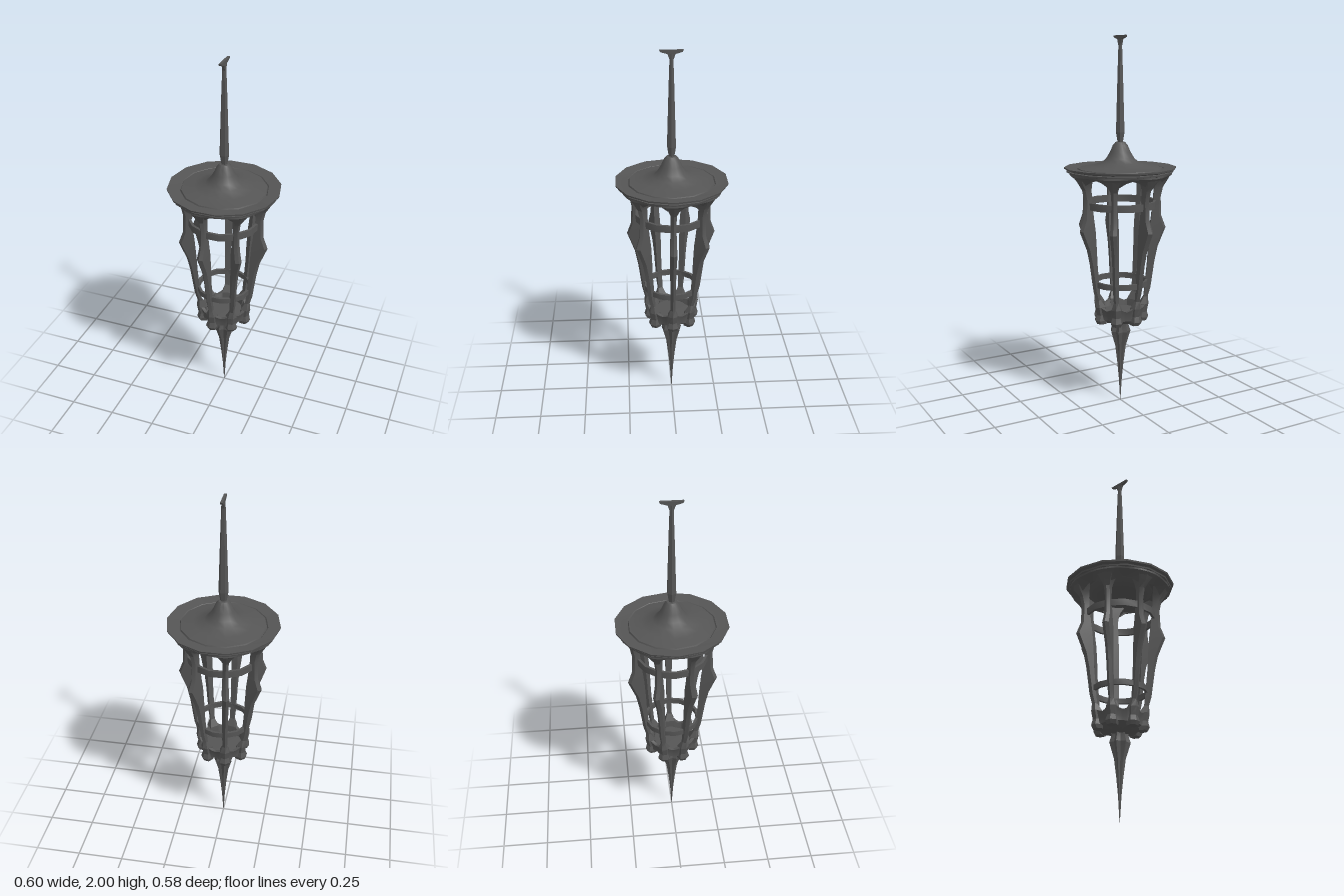
import * as THREE from 'three';
import { toCreasedNormals } from 'three/addons/utils/BufferGeometryUtils.js';

const RIBS = 7;
const smooth = new THREE.MeshStandardMaterial({ color: 0x555555, side: THREE.DoubleSide });
const v2 = (pts) => pts.map(([x, y]) => new THREE.Vector2(x, y));

// Skin a stack of closed rings, listed from bottom to top
function loft(rings, caps) {
  const n = rings[0].length, index = [];
  for (let i = 0; i < rings.length - 1; i++) {
    for (let j = 0; j < n; j++) {
      const k = (j + 1) % n;
      const a = i * n + j, b = i * n + k, c = a + n, d = b + n;
      index.push(a, b, d, a, d, c);
    }
  }
  if (caps) {
    const t = (rings.length - 1) * n;
    for (let j = 1; j < n - 1; j++) index.push(0, j + 1, j, t, t + j, t + j + 1);
  }
  const g = new THREE.BufferGeometry();
  g.setAttribute('position', new THREE.Float32BufferAttribute(rings.flat(2), 3));
  g.setIndex(index);
  return g;
}

// Ring whose radius and height swing between the rib and mid-bay values
function lobedRing(rRib, yRib, rBay, yBay, n = 42) {
  return Array.from({ length: n }, (_, j) => {
    const a = (j / n) * Math.PI * 2;
    const t = 0.5 + 0.5 * Math.cos(a * RIBS);
    const r = rBay + (rRib - rBay) * t;
    return [r * Math.cos(a), yBay + (yRib - yBay) * t, -r * Math.sin(a)];
  });
}

export function createModel() {
  const model = new THREE.Group();
  const add = (name, geometry, crease = 0.6) => {
    const mesh = new THREE.Mesh(toCreasedNormals(geometry, crease), smooth);
    mesh.name = name;
    model.add(mesh);
    return mesh;
  };
  // Lathe with a corner on the +x axis
  const lathe = (name, pts, sides, crease) =>
    add(name, new THREE.LatheGeometry(v2(pts), sides, Math.PI / 2), crease);

  // Roof: layered brim, shallow groove and bell-shaped peak
  lathe('roof', [
    [0, 1.275], [0.25, 1.28], [0.285, 1.288], [0.287, 1.296], [0.275, 1.298],
    [0.298, 1.306], [0.3, 1.315], [0.235, 1.308], [0.23, 1.302], [0.226, 1.31],
    [0.16, 1.322], [0.1, 1.338], [0.075, 1.362], [0.055, 1.395], [0.04, 1.43],
    [0.026, 1.447], [0, 1.452],
  ], 14, 0.55);
  lathe('ceilingDish', [[0, 1.25], [0.13, 1.25], [0.165, 1.262], [0.19, 1.285]], 14);

  // Hanging rod and the cross bar at its top
  lathe('rod', [
    [0, 1.44], [0.016, 1.445], [0.026, 1.5], [0.021, 1.66], [0.016, 1.82], [0.01, 1.98], [0, 1.985],
  ], 6, 0.1);
  const bar = new THREE.Shape(v2([
    [-0.06, 2], [-0.055, 1.99], [-0.02, 1.98], [-0.009, 1.95],
    [0.009, 1.95], [0.02, 1.98], [0.055, 1.99], [0.06, 2],
  ]));
  const barGeometry = new THREE.ExtrudeGeometry(bar, { depth: 0.014, bevelEnabled: false });
  barGeometry.translate(0, 0, -0.007).rotateY(Math.PI / 2);
  add('crossBar', barGeometry);

  // Ribs: [height, inner radius, outer radius, half width]
  const sections = [
    [0.465, 0.1, 0.145, 0.024], [0.485, 0.1, 0.155, 0.029], [0.515, 0.1, 0.147, 0.022],
    [0.56, 0.105, 0.156, 0.026], [0.6, 0.128, 0.152, 0.013], [0.65, 0.134, 0.166, 0.014],
    [0.8, 0.148, 0.187, 0.015], [0.88, 0.152, 0.204, 0.016], [0.985, 0.16, 0.246, 0.018],
    [1.05, 0.168, 0.222, 0.016], [1.15, 0.178, 0.218, 0.014], [1.205, 0.182, 0.23, 0.016],
    [1.24, 0.184, 0.252, 0.028], [1.285, 0.19, 0.278, 0.055],
  ];
  const ribGeometry = loft(sections.map(([y, ri, ro, w]) => [
    [ro, y, 0], [ro - 0.012, y, -w], [ri, y, -w], [ri, y, w], [ro - 0.012, y, w],
  ]), true);
  for (let i = 0; i < RIBS; i++) {
    add('rib', ribGeometry, 0.3).rotation.y = (i / RIBS) * Math.PI * 2;
  }

  // Arched crown joining the rib tops under the brim
  add('crown', loft([
    lobedRing(0.225, 1.225, 0.215, 1.262),
    lobedRing(0.25, 1.25, 0.235, 1.27),
    lobedRing(0.278, 1.276, 0.27, 1.278),
    lobedRing(0.276, 1.29, 0.276, 1.29),
  ]));

  // Flat hoops holding the cage
  const hoop = (name, y, r, h) => lathe(name, [
    [r - 0.014, y - h / 2], [r, y - h / 2], [r, y + h / 2], [r - 0.014, y + h / 2], [r - 0.014, y - h / 2],
  ], 14, 0.5);
  hoop('upperHoop', 1.117, 0.196, 0.038);
  hoop('lowerHoop', 0.685, 0.152, 0.03);

  // Scalloped cup and its floor
  add('cup', loft([
    lobedRing(0.035, 0.45, 0.035, 0.45),
    lobedRing(0.105, 0.468, 0.085, 0.472),
    lobedRing(0.132, 0.485, 0.112, 0.49),
    lobedRing(0.128, 0.515, 0.115, 0.515),
    lobedRing(0.142, 0.57, 0.128, 0.545),
    lobedRing(0.122, 0.57, 0.112, 0.545),
    lobedRing(0.11, 0.52, 0.1, 0.52),
  ]));
  lathe('cupFloor', [[0.108, 0.522], [0, 0.528]], 7);

  // Tapering fluted spike
  const flute = (r, y) => lobedRing(r, y, r * 0.72, y, RIBS * 2);
  add('spike', loft([
    flute(0.001, 0), flute(0.009, 0.13), flute(0.018, 0.22), flute(0.031, 0.32),
    flute(0.057, 0.405), flute(0.045, 0.44), flute(0.048, 0.468),
  ], true), 0.3);

  return model;
}
